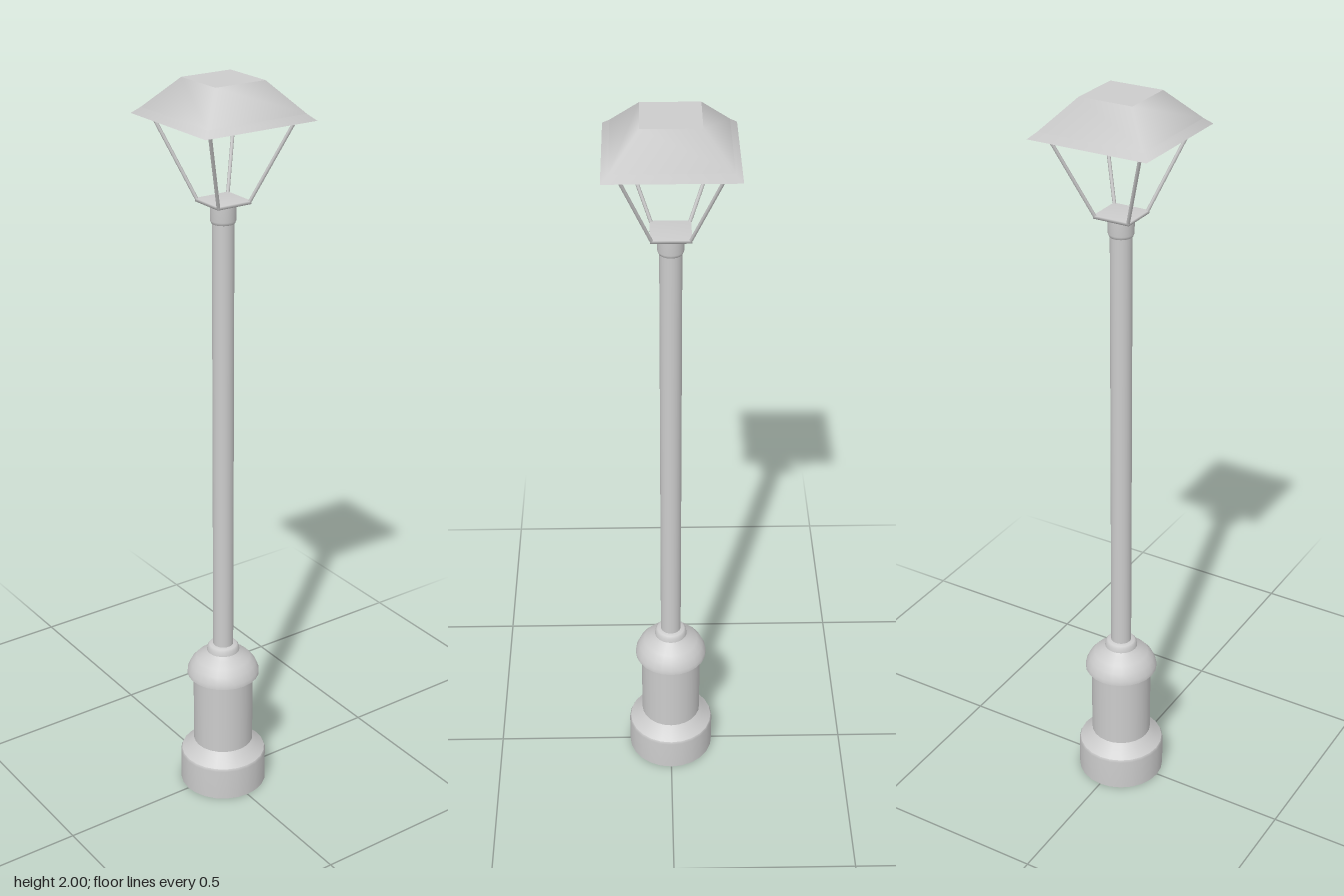
import * as THREE from 'three';

const grey = new THREE.MeshStandardMaterial({ color: 0xcccccc, side: THREE.DoubleSide });

export function createModel() {
  const model = new THREE.Group();

  const add = (name, geometry, parent = model) => {
    const mesh = new THREE.Mesh(geometry, grey);
    mesh.name = name;
    parent.add(mesh);
    return mesh;
  };
  const points = (profile) => profile.map(([r, y]) => new THREE.Vector2(r, y));
  // Round turned part
  const turned = (name, profile) => add(name, new THREE.LatheGeometry(points(profile), 24));
  // Square part: profile gives half widths, turned in four steps
  const square = (name, profile, parent) => add(name, new THREE.LatheGeometry(
    points(profile.map(([h, y]) => [h * Math.SQRT2, y])), 4, Math.PI / 4), parent);
  // Thin bar between two points
  const bar = (name, a, b, radius, parent) => {
    const mesh = add(name, new THREE.CylinderGeometry(radius, radius, a.distanceTo(b), 6), parent);
    mesh.position.copy(a).add(b).multiplyScalar(0.5);
    mesh.quaternion.setFromUnitVectors(new THREE.Vector3(0, 1, 0), b.clone().sub(a).normalize());
  };

  // Base: foot, shoulder, drum and bell-shaped cap
  turned('footUnderside', [[0, 0], [0.12, 0]]);
  turned('foot', [[0.12, 0], [0.12, 0.09], [0.117, 0.097]]);
  turned('shoulder', [[0.117, 0.097], [0.108, 0.105], [0.095, 0.118], [0.083, 0.132]]);
  turned('drum', [[0.083, 0.13], [0.083, 0.35]]);
  turned('bellUnderside', [[0.082, 0.348], [0.1, 0.348]]);
  turned('bell', [[0.1, 0.348], [0.099, 0.36], [0.09, 0.38], [0.075, 0.397],
    [0.055, 0.41], [0.045, 0.42]]);
  turned('bellNeck', [[0.045, 0.42], [0.043, 0.432], [0.038, 0.438], [0.028, 0.44]]);

  // Pole and its collar
  turned('pole', [[0.028, 0.43], [0.028, 1.66]]);
  turned('collar', [[0.027, 1.644], [0.03, 1.645], [0.033, 1.653], [0.033, 1.697]]);
  turned('collarTop', [[0.033, 1.697], [0, 1.697]]);

  // Open lantern frame: four leaning corner bars between two square rings
  const frame = new THREE.Group();
  frame.name = 'lanternFrame';
  model.add(frame);
  const low = 0.046, high = 0.122;
  for (const x of [-1, 1]) {
    for (const z of [-1, 1]) {
      bar('cornerBar', new THREE.Vector3(x * low, 1.7, z * low),
        new THREE.Vector3(x * high, 1.902, z * high), 0.0045, frame);
    }
  }
  square('bottomPlate', [[0, 1.696], [0.05, 1.696], [0.05, 1.704], [0, 1.704]], frame);
  square('topRing', [[0.115, 1.898], [0.127, 1.898], [0.127, 1.905], [0.115, 1.905], [0.115, 1.898]], frame);

  // Hollow square roof with a narrow rim and a flat top
  const roof = new THREE.Group();
  roof.name = 'roof';
  model.add(roof);
  square('roofSlopes', [[0.143, 1.924], [0.072, 2]], roof);
  square('roofRim', [[0.161, 1.908], [0.143, 1.924]], roof);
  square('roofUnderside', [[0.13, 1.908], [0.161, 1.908]], roof);
  square('roofLining', [[0.065, 1.985], [0.13, 1.908]], roof);
  square('roofTop', [[0.072, 2], [0, 2]], roof);
  square('roofCeiling', [[0, 1.985], [0.065, 1.985]], roof);

  return model;
}
